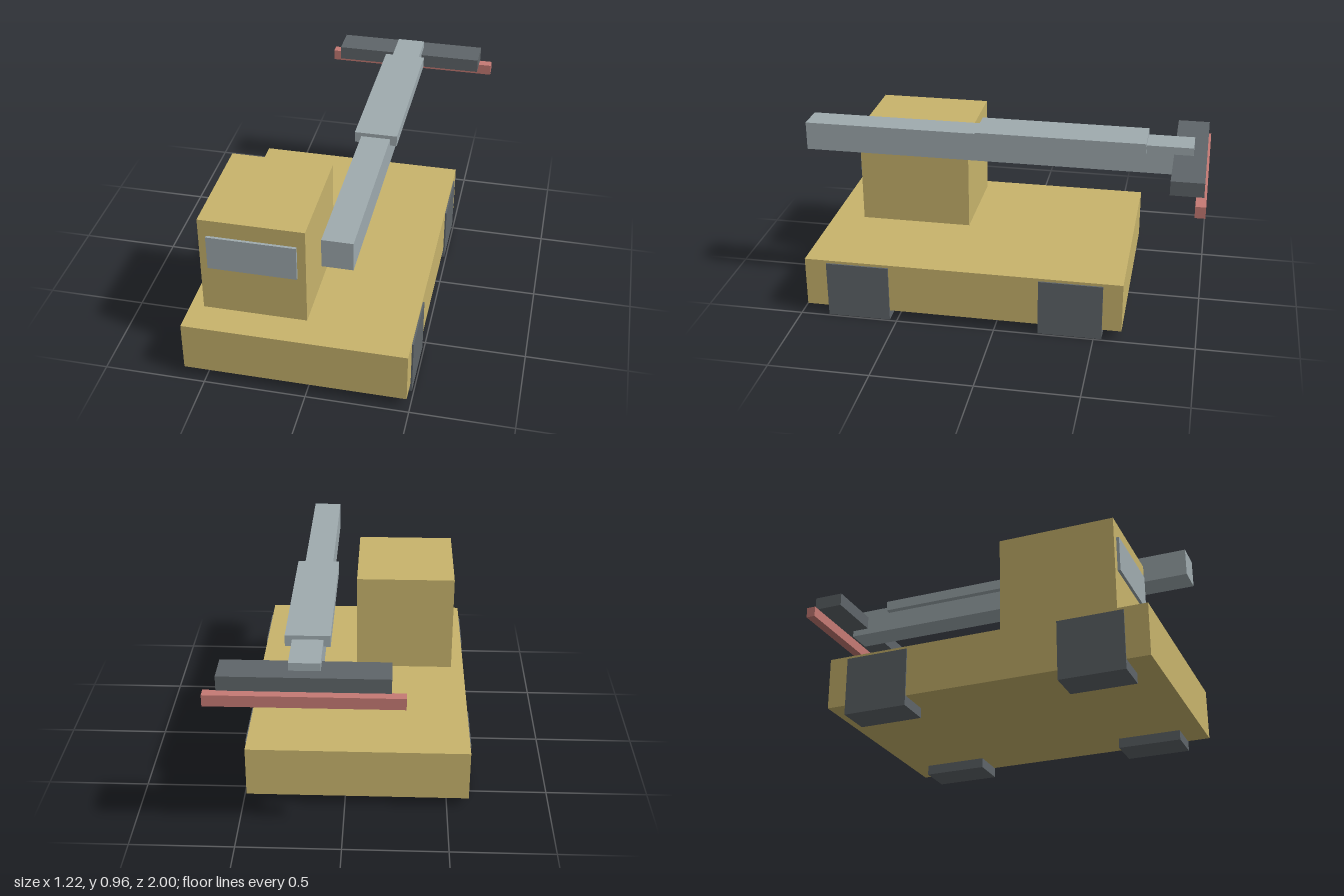
import * as THREE from 'three';

export function createModel() {
  const model = new THREE.Group();
  model.name = 'craneTruck';

  const mat = (name, color) => {
    const m = new THREE.MeshStandardMaterial({ color });
    m.name = name;
    return m;
  };
  const sand = mat('sand', 0xc8b46c);
  const steel = mat('paleSteel', 0x9fabaf);
  const charcoal = mat('charcoal', 0x5f6569);
  const red = mat('dustyRed', 0xc57a74);

  // Box given by its extents along x, y and z
  const box = (name, material, [x0, x1], [y0, y1], [z0, z1]) => {
    const mesh = new THREE.Mesh(new THREE.BoxGeometry(x1 - x0, y1 - y0, z1 - z0), material);
    mesh.position.set((x0 + x1) / 2, (y0 + y1) / 2, (z0 + z1) / 2);
    mesh.name = name;
    model.add(mesh);
  };

  // Chassis and off-centre cab with windscreen
  box('chassis', sand, [-0.607, 0.483], [0.05, 0.306], [-0.637, 0.968]);
  box('cab', sand, [-0.541, -0.03], [0.306, 0.82], [0.23, 0.806]);
  box('windscreen', steel, [-0.502, -0.071], [0.556, 0.734], [0.806, 0.82]);

  // Four block wheels, slightly proud of the chassis sides
  for (const [side, x] of [['Right', [-0.613, -0.438]], ['Left', [0.315, 0.491]]]) {
    box('front' + side + 'Wheel', charcoal, x, [0, 0.292], [0.537, 0.856]);
    box('rear' + side + 'Wheel', charcoal, x, [0, 0.292], [-0.54, -0.221]);
  }

  // Long boom with a raised sleeve
  box('boom', steel, [0.091, 0.234], [0.8, 0.942], [-0.924, 1]);
  box('boomSleeve', steel, [0.059, 0.267], [0.907, 0.961], [-0.7, 0.132]);

  // Crossbar and red bar at the rear end
  box('crossbar', charcoal, [-0.221, 0.547], [0.834, 0.904], [-0.988, -0.832]);
  box('rearBar', red, [-0.286, 0.611], [0.76, 0.816], [-1, -0.951]);

  return model;
}
